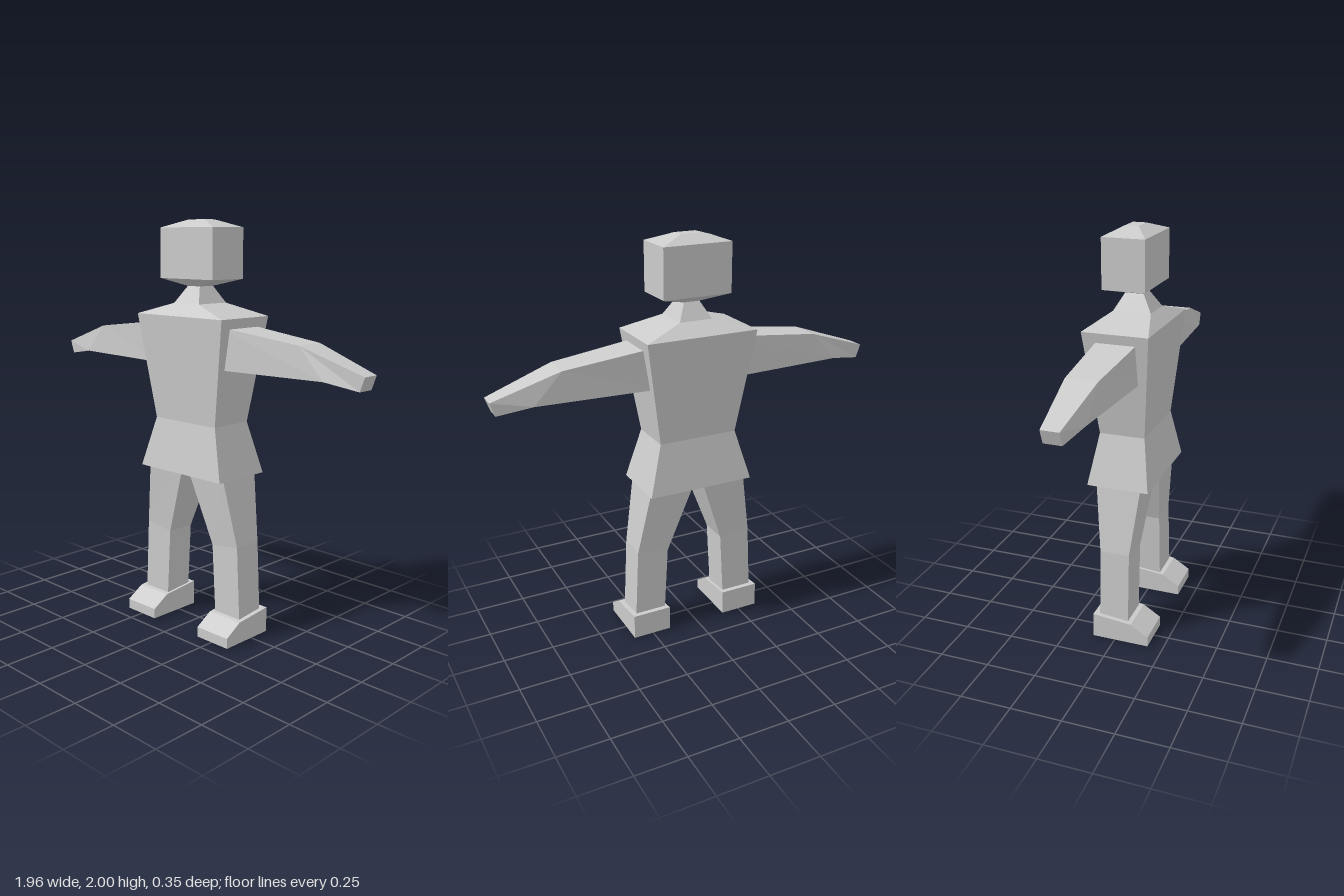
import * as THREE from 'three';

const material = new THREE.MeshStandardMaterial({ color: 0xcccccc, flatShading: true });

// Closed solid through rings of points; each ring runs counter-clockwise seen from the last one's end.
function loft(name, rings) {
  const pos = [];
  const n = rings[0].length;
  const tri = (a, b, c) => pos.push(...a, ...b, ...c);
  for (let k = 0; k < rings.length - 1; k++) {
    const a = rings[k], b = rings[k + 1];
    for (let i = 0; i < n; i++) {
      const j = (i + 1) % n;
      tri(a[i], a[j], b[j]);
      tri(a[i], b[j], b[i]);
    }
  }
  const first = rings[0], last = rings[rings.length - 1];
  for (let i = 1; i < n - 1; i++) {
    tri(first[0], first[i + 1], first[i]);
    tri(last[0], last[i], last[i + 1]);
  }
  const geometry = new THREE.BufferGeometry();
  geometry.setAttribute('position', new THREE.Float32BufferAttribute(pos, 3));
  geometry.computeVertexNormals();
  const mesh = new THREE.Mesh(geometry, material);
  mesh.name = name;
  return mesh;
}

// Rectangle across y; the two x sides may lie at different heights.
const level = (x0, x1, zBack, zFront, y0, y1 = y0) => [
  [x1, y1, zFront], [x1, y1, zBack], [x0, y0, zBack], [x0, y0, zFront],
];

// Rectangle across x, slanted between its bottom and top edges.
const slice = (xBottom, yBottom, xTop, yTop, zBack, zFront) => [
  [xBottom, yBottom, zFront], [xBottom, yBottom, zBack], [xTop, yTop, zBack], [xTop, yTop, zFront],
];

const mirror = (rings) => rings.map((r) => r.map(([x, y, z]) => [-x, y, z]).reverse());

export function createModel() {
  const model = new THREE.Group();
  model.name = 'figure';

  // Head: box with a shallow bevelled crown and chin
  model.add(loft('head', [
    level(-0.04, 0.04, -0.05, 0.04, 1.69),
    level(-0.173, 0.173, -0.115, 0.093, 1.725),
    level(-0.173, 0.173, -0.115, 0.093, 1.963),
    level(-0.053, 0.053, -0.045, 0.02, 2),
  ]));

  // Tunic: flared hem, waist, shoulders and neck
  model.add(loft('torso', [
    level(-0.27, 0.27, -0.165, 0.142, 0.79),
    level(-0.2, 0.2, -0.123, 0.102, 1.04),
    level(-0.282, 0.282, -0.175, 0.147, 1.553),
    level(-0.083, 0.083, -0.095, 0.09, 1.61),
    level(-0.04, 0.04, -0.05, 0.04, 1.69),
  ]));

  const arm = [
    slice(0.2, 1.313, 0.2, 1.515, -0.112, 0.087),
    slice(0.79, 1.318, 0.655, 1.462, -0.09, 0.06),
    slice(0.955, 1.29, 0.978, 1.355, -0.057, 0.028),
  ];
  const leg = [
    level(0.17, 0.33, -0.085, 0.063, 0.1),
    level(0.15, 0.312, -0.085, 0.063, 0.445, 0.465),
    level(0.025, 0.253, -0.123, 0.1, 0.795),
  ];
  // Foot: side profile (z, y) carried across x
  const profile = [[0.173, 0], [-0.113, 0], [-0.113, 0.125], [0.085, 0.105], [0.173, 0.05]];
  const foot = [0.155, 0.352].map((x) => profile.map(([z, y]) => [x, y, z]));

  for (const [part, rings] of Object.entries({ Arm: arm, Leg: leg, Foot: foot })) {
    model.add(loft('left' + part, rings), loft('right' + part, mirror(rings)));
  }
  return model;
}
